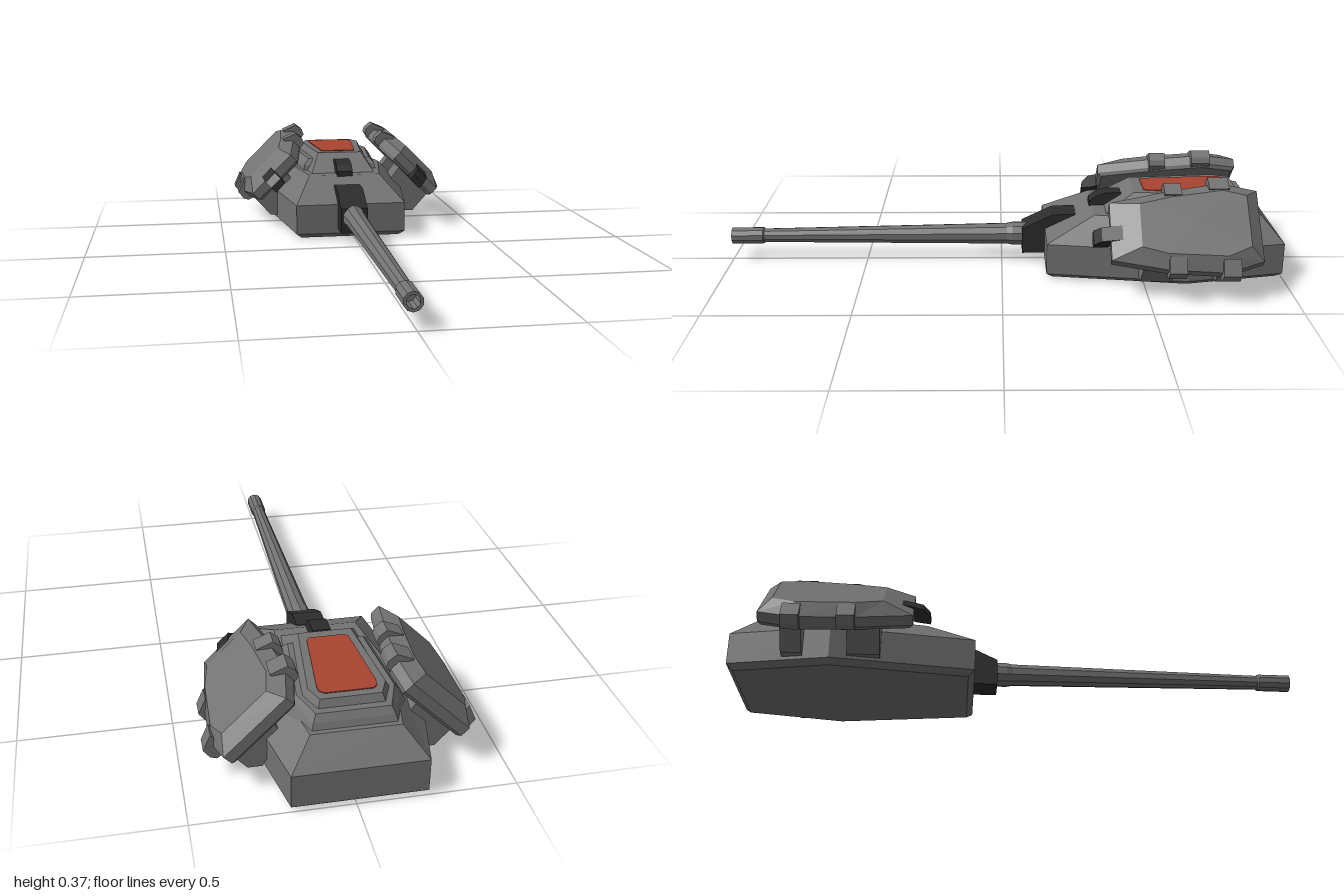
import * as THREE from 'three';

const mat = (name, color) => Object.assign(new THREE.MeshStandardMaterial({ color, flatShading: true }), { name });

// Closed solid lofted through rings of equal point count; winding is fixed by signed volume
function solid(rings) {
  const tris = [], n = rings[0].length;
  for (let r = 0; r + 1 < rings.length; r++) {
    const a = rings[r], b = rings[r + 1];
    for (let i = 0; i < n; i++) {
      const j = (i + 1) % n;
      tris.push([a[i], a[j], b[j]], [a[i], b[j], b[i]]);
    }
  }
  const cap = (ring, flip) => {
    const c = [0, 1, 2].map(k => ring.reduce((t, p) => t + p[k], 0) / n);
    for (let i = 0; i < n; i++) {
      const j = (i + 1) % n;
      tris.push(flip ? [c, ring[j], ring[i]] : [c, ring[i], ring[j]]);
    }
  };
  cap(rings[0], true);
  cap(rings[rings.length - 1], false);
  const v = p => new THREE.Vector3(...p);
  const volume = tris.reduce((t, [a, b, c]) => t + v(a).dot(v(b).cross(v(c))), 0);
  const flat = tris.flatMap(t => (volume < 0 ? [t[0], t[2], t[1]] : t)).flat();
  const g = new THREE.BufferGeometry();
  g.setAttribute('position', new THREE.Float32BufferAttribute(flat, 3));
  g.computeVertexNormals();
  return g;
}

export function createModel() {
  const group = new THREE.Group();
  const grey = mat('armour grey', 0x737373);
  const dark = mat('dark metal', 0x2c2c2c);
  const red = mat('hatch red', 0xa84430);
  const CX = -0.012; // centre line of hull and gun
  const add = (name, geometry, material) => {
    const m = new THREE.Mesh(geometry, material);
    m.name = name;
    group.add(m);
    return m;
  };

  // Six-sided plan ring: front, middle and back stations with half widths
  const hex = (y, zf, zm, zb, wf, wm, wb) => [
    [wf, zf], [wm, zm], [wb, zb], [-wb, zb], [-wm, zm], [-wf, zf],
  ].map(([x, z]) => [CX + x, y, z]);

  // Hull and stepped superstructure
  add('hull', solid([
    hex(0, -0.18, -0.65, -0.98, 0.19, 0.26, 0.19),
    hex(0.018, -0.158, -0.65, -1, 0.21, 0.282, 0.21),
    hex(0.13, -0.158, -0.65, -1, 0.21, 0.282, 0.21),
    hex(0.215, -0.33, -0.65, -0.925, 0.14, 0.19, 0.14),
  ]), grey);
  add('roofCollar', solid([
    hex(0.2, -0.46, -0.78, -0.915, 0.15, 0.188, 0.135),
    hex(0.235, -0.47, -0.78, -0.9, 0.145, 0.17, 0.125),
    hex(0.258, -0.49, -0.78, -0.885, 0.125, 0.152, 0.115),
  ]), grey);
  add('superstructure', solid([
    hex(0.2, -0.365, -0.78, -0.89, 0.13, 0.165, 0.12),
    hex(0.217, -0.375, -0.78, -0.88, 0.125, 0.158, 0.115),
    hex(0.283, -0.475, -0.79, -0.85, 0.088, 0.12, 0.095),
  ]), grey);

  // Painted roof hatch
  const hatch = y => [
    [0.06, -0.512], [0.069, -0.525], [0.092, -0.78], [0.09, -0.81], [0.075, -0.824],
    [-0.075, -0.824], [-0.09, -0.81], [-0.092, -0.78], [-0.069, -0.525], [-0.06, -0.512],
  ].map(([x, z]) => [CX + x, y, z]);
  add('roofHatch', solid([hatch(0.281), hatch(0.286)]), red);

  // Side profile [z, y] extruded across the centre line
  const block = (profile, half) =>
    solid([-half, half].map(x => profile.map(([z, y]) => [CX + x, y, z])));
  add('mantlet', block([
    [-0.075, 0.035], [-0.075, 0.13], [-0.11, 0.147], [-0.185, 0.183],
    [-0.27, 0.187], [-0.28, 0.15], [-0.2, 0.035],
  ], 0.051), dark);
  add('roofSight', block([
    [-0.32, 0.205], [-0.32, 0.23], [-0.345, 0.25], [-0.38, 0.262],
    [-0.435, 0.262], [-0.44, 0.22], [-0.38, 0.205],
  ], 0.031), dark);

  // Tapered barrel with a hollow muzzle
  const barrel = add('gunBarrel', new THREE.LatheGeometry([
    [0, 0], [0.044, 0], [0.044, 0.06], [0.04, 0.08], [0.026, 0.98], [0.031, 0.985],
    [0.031, 1.1], [0.021, 1.1], [0.021, 1.03], [0, 1.03],
  ].map(p => new THREE.Vector2(...p)), 10), grey);
  barrel.position.set(CX, 0.094, -0.1);
  barrel.rotation.x = Math.PI / 2 + 0.0065;

  // Sloped side armour, in slope (s), normal (n) and z coordinates
  const outline = [
    [-0.37, 0.05], [-0.58, 0.095], [-0.76, 0.125], [-0.885, 0.095],
    [-0.885, -0.17], [-0.76, -0.212], [-0.56, -0.2], [-0.37, -0.165],
  ];
  const plate = [
    [-0.47, 0.03], [-0.58, 0.055], [-0.76, 0.08], [-0.84, 0.06],
    [-0.84, -0.13], [-0.76, -0.165], [-0.56, -0.155], [-0.47, -0.13],
  ];
  const sight = [
    [-0.312, 0.312], [-0.315, 0.338], [-0.34, 0.365], [-0.435, 0.385],
    [-0.44, 0.345], [-0.36, 0.318],
  ];
  const bracket = [[0.25, 0.03], [0.297, 0.03], [0.358, 0.098], [0.24, 0.215], [0.19, 0.15]];

  for (const side of [1, -1]) {
    const label = side > 0 ? 'left' : 'right';
    const P = (s, n, z) => [side * (n - s) * Math.SQRT1_2, (n + s) * Math.SQRT1_2, z];
    const ring = (pts, n, k = 1) =>
      pts.map(([z, s]) => P(-0.04 + (s + 0.04) * k, n, -0.64 + (z + 0.64) * k));

    add(label + 'ArmourPanel', solid([
      ring(outline, 0.318, 0.95), ring(outline, 0.33), ring(outline, 0.365), ring(plate, 0.402),
    ]), grey);

    // Clips wrapped over the upper and lower panel edges
    for (const [z, s, dir, w] of [
      [-0.59, 0.1, 1, 0.06], [-0.75, 0.122, 1, 0.07],
      [-0.59, -0.2, -1, 0.06], [-0.77, -0.21, -1, 0.06],
    ]) {
      const profile = [[-0.04, 0.318], [0.014, 0.325], [0.024, 0.345], [0.02, 0.378], [-0.035, 0.4]];
      add(label + 'PanelClip', solid([-w / 2, w / 2].map(dz =>
        profile.map(([ds, n]) => P(s + dir * ds, n, z + dz)))), grey);
    }

    add(label + 'PanelSight', solid([-0.095, -0.042].map(s =>
      sight.map(([z, n]) => P(s, n, z)))), dark);

    // Brackets carrying the panel
    for (const [z0, z1] of [[-0.48, -0.59], [-0.74, -0.81]]) {
      add(label + 'PanelBracket', solid([z0, z1].map(z =>
        bracket.map(([x, y]) => [side * x, y, z]))), grey);
    }
  }
  return group;
}
